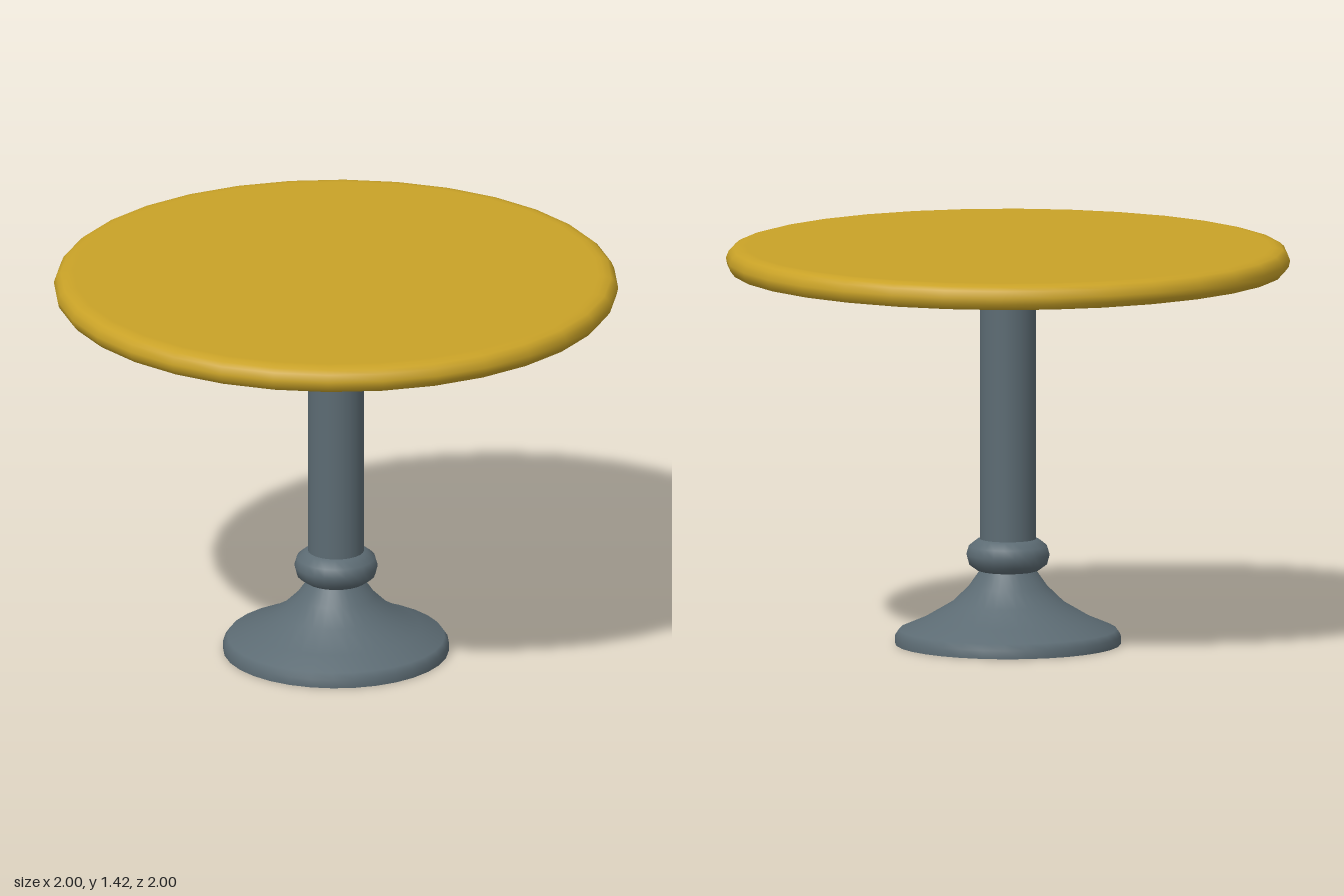
import * as THREE from 'three';

export function createModel() {
  const gold = new THREE.MeshStandardMaterial({ color: 0xc9a227 });
  gold.name = 'gold top';
  const slate = new THREE.MeshStandardMaterial({ color: 0x5c6b73, side: THREE.DoubleSide });
  slate.name = 'slate metal';

  const table = new THREE.Group();
  table.name = 'pedestalTable';

  // Turned part from a [radius, height] profile, listed bottom to top
  function turn(name, profile, segments, material) {
    const points = profile.map(([r, y]) => new THREE.Vector2(r, y));
    const mesh = new THREE.Mesh(new THREE.LatheGeometry(points, segments), material);
    mesh.name = name;
    table.add(mesh);
  }

  // Flared foot, hollow underneath
  turn('base', [
    [0.4, 0], [0.4, 0.03], [0.385, 0.052], [0.3, 0.088],
    [0.2, 0.147], [0.14, 0.205], [0.1, 0.262],
  ], 32, slate);

  // Rounded ring around the post
  turn('collar', [
    [0.09, 0.258], [0.11, 0.264], [0.139, 0.285], [0.148, 0.32],
    [0.139, 0.35], [0.11, 0.373], [0.09, 0.378],
  ], 24, slate);

  // Straight post
  const post = new THREE.Mesh(new THREE.CylinderGeometry(0.1, 0.1, 0.99, 24), slate);
  post.name = 'post';
  post.position.y = 0.755;
  table.add(post);

  // Round top: shallow tapered underside, softly rounded rim, flat surface
  turn('tabletopUnderside', [[0, 1.25], [0.24, 1.25], [0.95, 1.328]], 32, gold);
  turn('tabletopRim', [
    [0.95, 1.328], [0.98, 1.333], [0.995, 1.352], [1, 1.375],
    [0.99, 1.4], [0.975, 1.413], [0.95, 1.42], [0.93, 1.42],
  ], 32, gold);
  turn('tabletopSurface', [[0.93, 1.42], [0, 1.42]], 32, gold);

  return table;
}
